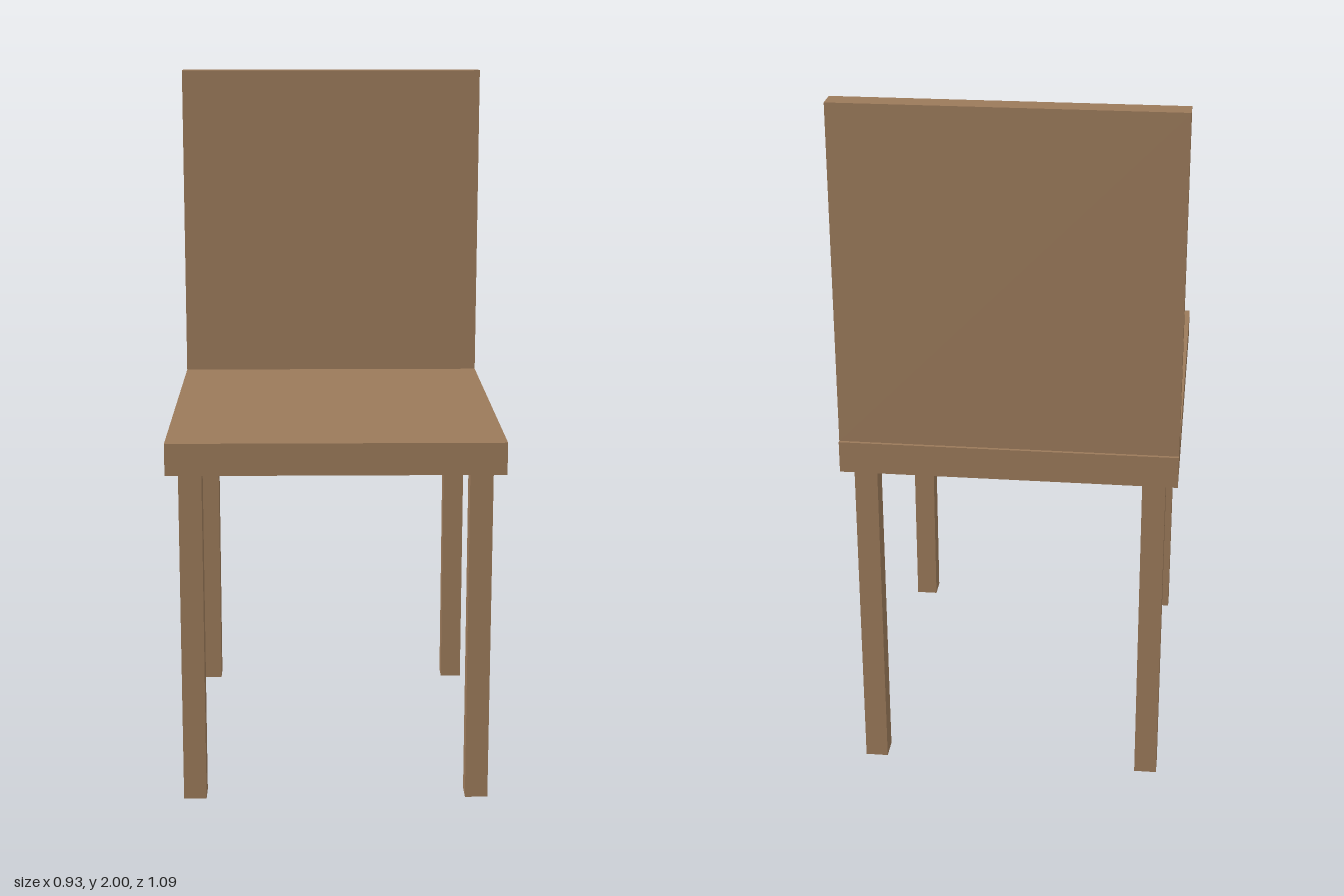
import * as THREE from 'three';

export function createModel() {
  const chair = new THREE.Group();
  chair.name = 'chair';
  const wood = new THREE.MeshStandardMaterial({ color: 0x9b7a5a });
  wood.name = 'brown wood';

  // Adds a box by its size and centre
  const addBox = (name, size, centre) => {
    const mesh = new THREE.Mesh(new THREE.BoxGeometry(...size), wood);
    mesh.name = name;
    mesh.position.set(...centre);
    chair.add(mesh);
  };

  // Seat slab and the backrest standing on it, just inside the rear edge
  const width = 0.932, seatBottom = 0.957, seatTop = 1.047;
  addBox('seat', [width, seatTop - seatBottom, 1.086], [0, (seatBottom + seatTop) / 2, 0]);
  addBox('backrest', [width, 2 - seatTop, 0.064], [0, (2 + seatTop) / 2, -0.502]);

  // Four square legs
  for (const [end, z] of [['front', 0.479], ['back', -0.479]]) {
    for (const [side, x] of [['Left', 0.4], ['Right', -0.4]]) {
      addBox(`${end}${side}Leg`, [0.064, seatBottom, 0.064], [x, seatBottom / 2, z]);
    }
  }
  return chair;
}
